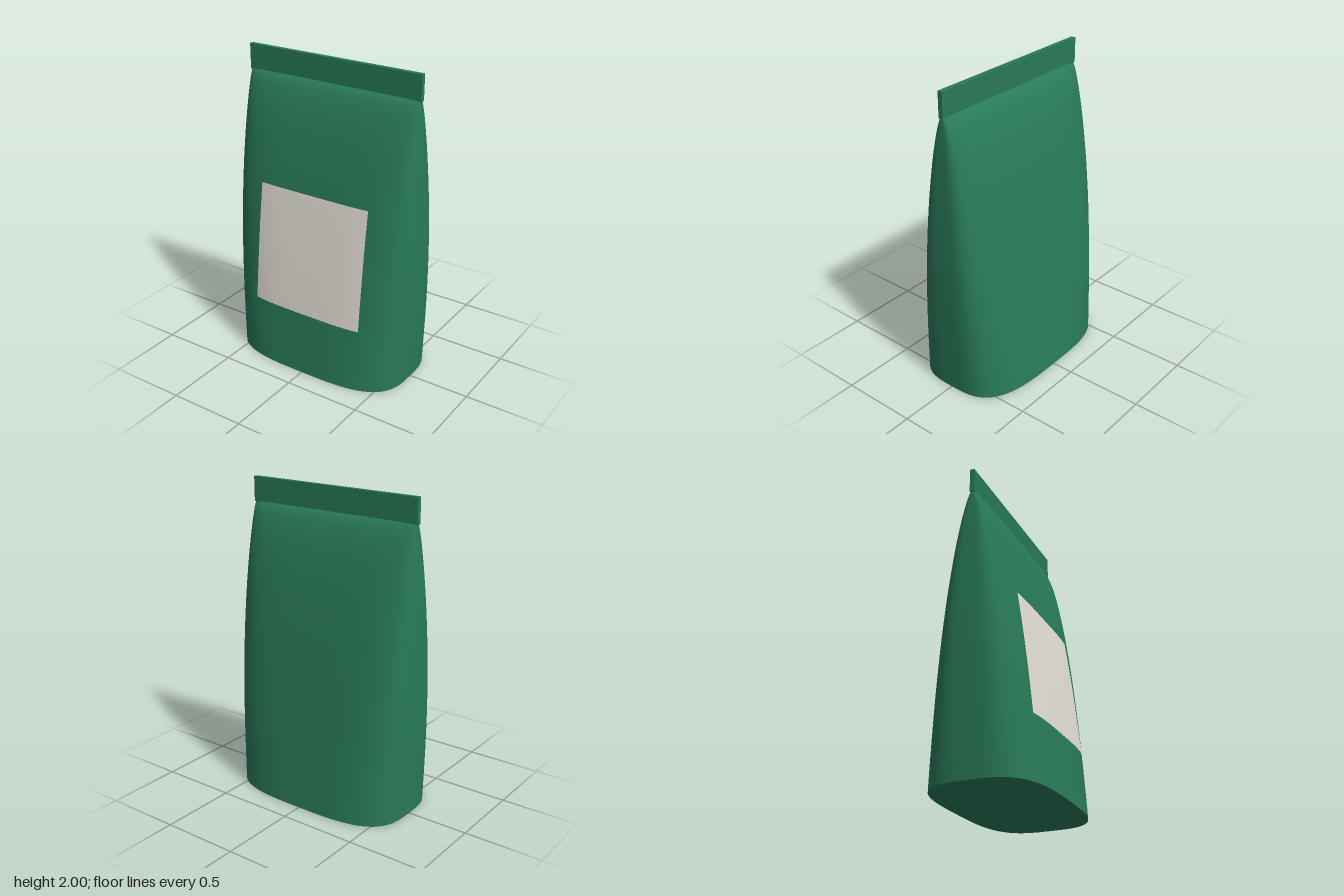
import * as THREE from 'three';

const SHOULDER = 1.85; // height where the bag closes into the seal
const RINGS = 48;
const SIDES = 96;

// Bag outline at height y: half width, half depth and squareness
const halfWidth = (y) => 0.6 + 0.031 * Math.sin((Math.PI * y) / SHOULDER);
const halfDepth = (y) => Math.max(0.012, 0.36 * Math.pow(Math.max(0, 1 - y / SHOULDER), 0.51));
const squareness = (y) => 3.3 + 0.6 * y;

function sectionPoint(y, angle) {
  const c = Math.cos(angle), s = Math.sin(angle), e = 2 / squareness(y);
  return [
    halfWidth(y) * Math.sign(c) * Math.pow(Math.abs(c), e),
    y,
    halfDepth(y) * Math.sign(s) * Math.pow(Math.abs(s), e),
  ];
}

// Smooth skin lofted through rounded-rectangle sections, closer together near the top
function bagGeometry() {
  const positions = [], index = [];
  for (let i = 0; i <= RINGS; i++) {
    const y = SHOULDER * (1 - Math.pow(1 - i / RINGS, 2));
    for (let j = 0; j < SIDES; j++) positions.push(...sectionPoint(y, (j / SIDES) * Math.PI * 2));
  }
  for (let i = 0; i < RINGS; i++) {
    for (let j = 0; j < SIDES; j++) {
      const k = (j + 1) % SIDES;
      const a = i * SIDES + j, b = i * SIDES + k;
      index.push(a, a + SIDES, b, b, a + SIDES, b + SIDES);
    }
  }
  const geometry = new THREE.BufferGeometry();
  geometry.setAttribute('position', new THREE.Float32BufferAttribute(positions, 3));
  geometry.setIndex(index);
  geometry.computeVertexNormals();
  return geometry;
}

// Flat base with the same outline as the lowest section
function baseGeometry() {
  const outline = [];
  for (let j = 0; j < SIDES; j++) {
    const [x, , z] = sectionPoint(0, (j / SIDES) * Math.PI * 2);
    outline.push(new THREE.Vector2(x, z));
  }
  return new THREE.ShapeGeometry(new THREE.Shape(outline)).rotateX(Math.PI / 2);
}

// Thin sticker that follows the curve of the front
function labelGeometry() {
  const geometry = new THREE.PlaneGeometry(0.78, 0.78, 24, 24).translate(0, 0.8, 0);
  const p = geometry.attributes.position;
  for (let i = 0; i < p.count; i++) {
    const y = p.getY(i), n = squareness(y);
    const across = Math.pow(Math.abs(p.getX(i)) / halfWidth(y), n);
    p.setZ(i, halfDepth(y) * Math.pow(1 - across, 1 / n) + 0.005);
  }
  geometry.computeVertexNormals();
  return geometry;
}

export function createModel() {
  const green = new THREE.MeshStandardMaterial({ color: 0x297b5a });
  green.name = 'bagGreen';
  const cream = new THREE.MeshStandardMaterial({ color: 0xe4e0d6 });
  cream.name = 'labelCream';

  const group = new THREE.Group();
  group.name = 'pouchBag';
  const add = (name, geometry, material) => {
    const mesh = new THREE.Mesh(geometry, material);
    mesh.name = name;
    group.add(mesh);
  };

  add('bagBody', bagGeometry(), green);
  add('bagBase', baseGeometry(), green);
  add('topSeal', new THREE.BoxGeometry(1.21, 0.16, 0.03).translate(0, 1.92, 0), green);
  add('frontLabel', labelGeometry(), cream);
  return group;
}
